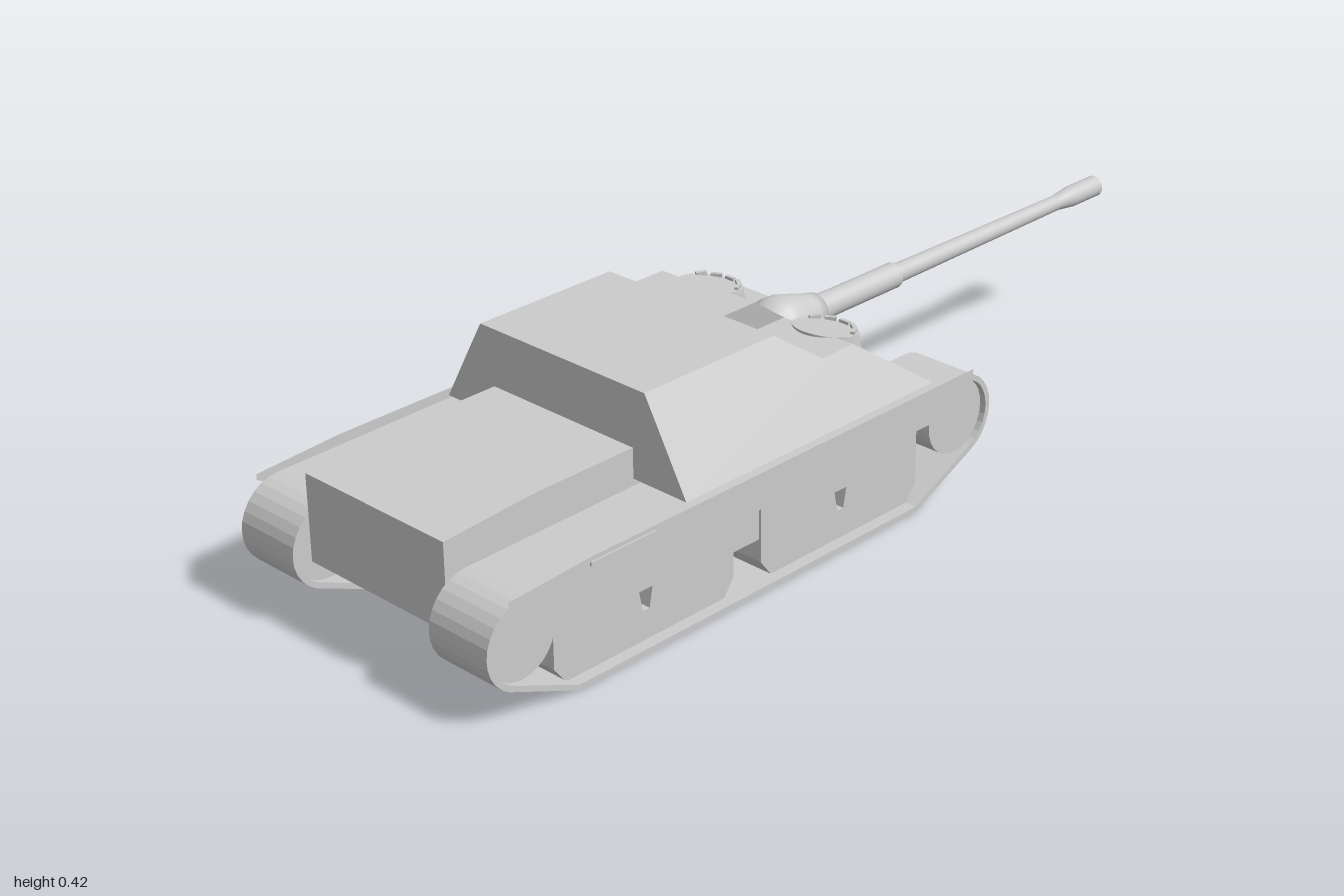
import * as THREE from 'three';

const flat = new THREE.MeshStandardMaterial({ color: 0xcccccc, flatShading: true });
const smooth = new THREE.MeshStandardMaterial({ color: 0xcccccc });
const thin = new THREE.MeshStandardMaterial({ color: 0xcccccc, side: THREE.DoubleSide });

function add(parent, name, geometry, material = flat) {
  const mesh = new THREE.Mesh(geometry, material);
  mesh.name = name;
  parent.add(mesh);
  return mesh;
}

const toShape = (pts) => new THREE.Shape(pts.map(([z, y]) => new THREE.Vector2(z, y)));

// Side profile of [z, y] points, extruded from x0 to x1
function slab(pts, x0, x1, holes = []) {
  const shape = toShape(pts);
  holes.forEach((h) => shape.holes.push(toShape(h)));
  const g = new THREE.ExtrudeGeometry(shape, { depth: x1 - x0, bevelEnabled: false });
  return g.rotateY(-Math.PI / 2).translate(x1, 0, 0);
}

// Six-sided block with a different rectangle [x0, x1, z0, z1] at bottom and top
function frustum(y0, bottom, y1, top) {
  const g = new THREE.BoxGeometry(1, 1, 1);
  const p = g.attributes.position;
  for (let i = 0; i < p.count; i++) {
    const up = p.getY(i) > 0;
    const r = up ? top : bottom;
    p.setXYZ(i, r[p.getX(i) > 0 ? 1 : 0], up ? y1 : y0, r[p.getZ(i) > 0 ? 3 : 2]);
  }
  g.computeVertexNormals();
  return g;
}

// Closed track outline, inset by t
function trackLoop(t) {
  const pts = [[-0.06, t], [0.8, t]];
  const arc = (cz, cy, a0, a1) => {
    for (let i = 0; i <= 12; i++) {
      const a = THREE.MathUtils.degToRad(a0 + ((a1 - a0) * i) / 12);
      pts.push([cz + (0.086 - t) * Math.cos(a), cy + (0.086 - t) * Math.sin(a)]);
    }
  };
  arc(0.914, 0.142, -62, 90);
  arc(-0.184, 0.151, 90, 245);
  return pts;
}

// Mirrored [min, max] range of x
const span = (s, a, b) => (s > 0 ? [a, b] : [-b, -a]);

function buildRunningGear(s) {
  const gear = new THREE.Group();
  gear.name = s > 0 ? 'leftRunningGear' : 'rightRunningGear';
  add(gear, 'track', slab(trackLoop(0), ...span(s, 0.177, 0.318), [trackLoop(0.011)]));

  // End wheels
  for (const [z, y] of [[0.914, 0.142], [-0.184, 0.151]]) {
    const wheel = add(gear, 'endWheel', new THREE.CylinderGeometry(0.075, 0.075, 0.115, 28), smooth);
    wheel.rotation.z = Math.PI / 2;
    wheel.position.set(s * 0.2475, y, z);
  }

  // Suspension blocks, each with a small opening
  for (const [z0, z1] of [[0.405, 0.835], [-0.085, 0.335]]) {
    const m = (z0 + z1) / 2;
    const outline = [[z0 + 0.025, 0.012], [z1 - 0.025, 0.012], [z1, 0.045], [z1, 0.17], [z0, 0.17], [z0, 0.045]];
    const opening = [[m - 0.008, 0.07], [m + 0.008, 0.07], [m + 0.016, 0.11], [m - 0.016, 0.11]];
    add(gear, 'suspensionBlock', slab(outline, ...span(s, 0.195, 0.295), [opening]));
  }
  // Bridge between the two blocks
  add(gear, 'suspensionBridge', slab([[0.33, 0.09], [0.41, 0.09], [0.41, 0.17], [0.33, 0.17]], ...span(s, 0.195, 0.29)));

  // Thin side skirt with a raised tail and a narrow rail
  const skirt = toShape([[-0.21, 0.175], [0.87, 0.175], [0.955, 0.225], [0.955, 0.236], [0.77, 0.246], [-0.21, 0.246]]);
  add(gear, 'sideSkirt', new THREE.ShapeGeometry(skirt).rotateY(-Math.PI / 2).translate(s * 0.325, 0, 0), thin);
  const rail = add(gear, 'skirtRail', new THREE.BoxGeometry(0.004, 0.007, 0.15));
  rail.position.set(s * 0.327, 0.234, 0.7);
  return gear;
}

// Rounded crew hood with a ring of vision blocks
function buildHood(s) {
  const hood = new THREE.Group();
  hood.name = s > 0 ? 'leftHood' : 'rightHood';
  const body = new THREE.CylinderGeometry(0.062, 0.07, 0.11, 32);
  const p = body.attributes.position;
  for (let i = 0; i < p.count; i++) {
    // Top tips forward, base shifts ahead
    if (p.getY(i) > 0) p.setY(i, p.getY(i) + p.getZ(i) * 0.2);
    else p.setZ(i, p.getZ(i) - 0.012);
  }
  body.computeVertexNormals();
  add(hood, 'hoodBody', body, smooth);
  for (let i = 0; i < 5; i++) {
    const a = ((i - 2) * 32 * Math.PI) / 180;
    const block = add(hood, 'visionBlock', new THREE.BoxGeometry(0.022, 0.008, 0.008));
    block.position.set(Math.sin(a) * 0.054, 0.058 - Math.cos(a) * 0.011, -Math.cos(a) * 0.054);
    block.rotation.y = -a;
  }
  hood.position.set(s * 0.147, 0.293, 0.005);
  return hood;
}

function buildGun() {
  const gun = new THREE.Group();
  gun.name = 'gun';
  const lathe = (name, pts) => {
    const g = new THREE.LatheGeometry(pts.map(([r, l]) => new THREE.Vector2(r, l)), 28);
    add(gun, name, g.rotateX(-Math.PI / 2), smooth);
  };
  // Profiles are [radius, distance towards the muzzle]
  lathe('mantlet', [[0, -0.035], [0.035, -0.03], [0.052, -0.01], [0.06, 0.015], [0.058, 0.04], [0.05, 0.07], [0.04, 0.105], [0.034, 0.13], [0, 0.13]]);
  lathe('sleeve', [[0.03, 0.1], [0.026, 0.18], [0.026, 0.355], [0.025, 0.355], [0, 0.355]]);
  lathe('barrel', [[0.02, 0.34], [0.016, 0.88]]);
  lathe('muzzle', [[0.016, 0.87], [0.022, 0.92], [0.022, 1], [0.021, 1], [0, 1]]);
  gun.position.y = 0.294;
  return gun;
}

export function createModel() {
  const tank = new THREE.Group();
  tank.name = 'tankDestroyer';

  // Hull with raised engine deck and sloped nose
  add(tank, 'hull', slab([
    [-0.13, 0.09], [0.92, 0.09], [0.96, 0.122], [0.96, 0.293], [0.76, 0.305],
    [0.53, 0.305], [0.53, 0.246], [-0.116, 0.246], [-0.23, 0.165],
  ], -0.177, 0.177));

  // Casemate: two sloped sides, a centre behind the gun notch, and the roof
  const casemate = new THREE.Group();
  casemate.name = 'casemate';
  tank.add(casemate);
  for (const s of [1, -1]) {
    add(casemate, 'casemateSide', frustum(
      0.245, [...span(s, 0.073, 0.305), -0.116, 0.53],
      0.355, [...span(s, 0.073, 0.244), 0.037, 0.53]));
  }
  add(casemate, 'casemateCentre', frustum(0.245, [-0.073, 0.073, 0.037, 0.53], 0.355, [-0.073, 0.073, 0.037, 0.53]));
  add(casemate, 'roof', frustum(0.355, [-0.244, 0.244, 0.12, 0.53], 0.419, [-0.208, 0.208, 0.21, 0.53]));
  add(casemate, 'roofFront', frustum(0.355, [-0.073, 0.073, 0.037, 0.25], 0.419, [-0.086, 0.086, 0.128, 0.25]));

  tank.add(buildGun());
  for (const s of [1, -1]) tank.add(buildRunningGear(s), buildHood(s));
  return tank;
}
